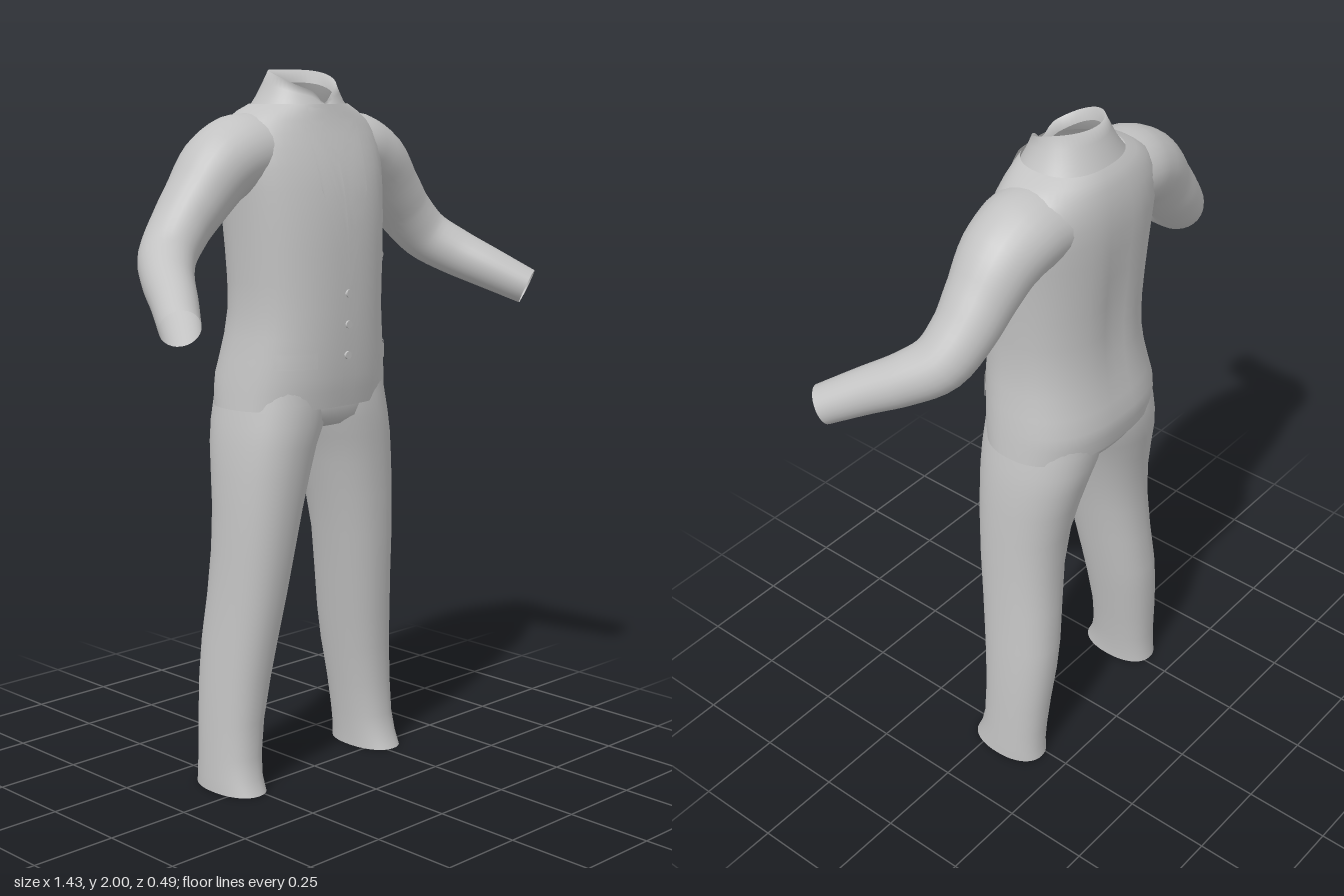
import * as THREE from 'three';

const SEG = 48, N = 2.35;
const cloth = new THREE.MeshStandardMaterial({ color: 0xc2c2c2, side: THREE.DoubleSide });
cloth.name = 'light grey cloth';

// Skin a list of closed rings (arrays of Vector3, bottom to top)
function loft(name, rings) {
  const n = rings[0].length, pos = [], idx = [];
  rings.forEach((ring) => ring.forEach((p) => pos.push(p.x, p.y, p.z)));
  for (let i = 0; i < rings.length - 1; i++) {
    for (let j = 0; j < n; j++) {
      const a = i * n + j, b = i * n + (j + 1) % n;
      idx.push(a, b, a + n, b, b + n, a + n);
    }
  }
  return finish(name, pos, idx);
}

function finish(name, pos, idx) {
  const g = new THREE.BufferGeometry();
  g.setAttribute('position', new THREE.Float32BufferAttribute(pos, 3));
  g.setIndex(idx);
  g.computeVertexNormals();
  const mesh = new THREE.Mesh(g, cloth);
  mesh.name = name;
  return mesh;
}

// Horizontal superellipse ring; angle 0 faces the front
function ring(y, cx, hw, front, back, n = N) {
  const pw = (v) => Math.sign(v) * Math.abs(v) ** (2 / n);
  return Array.from({ length: SEG }, (_, j) => {
    const a = (j / SEG) * Math.PI * 2;
    return new THREE.Vector3(cx + hw * pw(Math.sin(a)), y,
      (front + back) / 2 + ((front - back) / 2) * pw(Math.cos(a)));
  });
}

// Jacket body: y, half width, front z, back z
const BODY = [
  [1.085, 0.268, 0.118, -0.238], [1.13, 0.262, 0.126, -0.247], [1.17, 0.256, 0.131, -0.248],
  [1.22, 0.247, 0.134, -0.236], [1.28, 0.236, 0.137, -0.224], [1.35, 0.228, 0.138, -0.215],
  [1.43, 0.23, 0.138, -0.213], [1.52, 0.236, 0.136, -0.217], [1.6, 0.242, 0.132, -0.222],
  [1.68, 0.25, 0.122, -0.226], [1.74, 0.258, 0.108, -0.227], [1.79, 0.26, 0.092, -0.224],
  [1.83, 0.248, 0.077, -0.217], [1.865, 0.22, 0.065, -0.207], [1.89, 0.18, 0.058, -0.195],
  [1.908, 0.14, 0.053, -0.18],
];

// Depth of the jacket front at x, y
function frontZ(x, y) {
  let i = 0;
  while (i < BODY.length - 2 && BODY[i + 1][0] < y) i++;
  const t = THREE.MathUtils.clamp((y - BODY[i][0]) / (BODY[i + 1][0] - BODY[i][0]), 0, 1);
  const [hw, f, b] = [1, 2, 3].map((k) => THREE.MathUtils.lerp(BODY[i][k], BODY[i + 1][k], t));
  return (f + b) / 2 + ((f - b) / 2) * Math.max(0, 1 - Math.abs(x / hw) ** N) ** (1 / N);
}

// Thin cloth panel laid over the jacket front; corners run counter-clockwise
function panel(name, corners, lift = 0.005) {
  const [a, b, c, d] = corners.map(([x, y]) => new THREE.Vector2(x, y));
  const D = 8, pos = [], idx = [];
  for (let i = 0; i <= D; i++) {
    for (let j = 0; j <= D; j++) {
      const p = a.clone().lerp(b, j / D).lerp(d.clone().lerp(c, j / D), i / D);
      pos.push(p.x, p.y, frontZ(p.x, p.y) + lift);
      if (i < D && j < D) {
        const k = i * (D + 1) + j;
        idx.push(k, k + 1, k + D + 1, k + 1, k + D + 2, k + D + 1);
      }
    }
  }
  return finish(name, pos, idx);
}

function jacketBody() {
  const rings = BODY.map(([y, hw, f, b]) => ring(y, 0, hw, f, b));
  // Shallow groove along the spine
  rings.flat().forEach((p) => {
    if (p.z < -0.1) {
      p.z += 0.014 * Math.exp(-((p.x / 0.045) ** 2)) * Math.exp(-(((p.y - 1.5) / 0.2) ** 2));
    }
  });
  return loft('jacketBody', rings);
}

// Standing collar, high at the nape with a notch at the throat
function collar() {
  const base = ring(1.893, 0, 0.15, 0.057, -0.186, 2.1);
  const top = ring(2, 0, 0.1, 0.038, -0.135, 2);
  top.forEach((p, j) => {
    const a = (j / SEG) * Math.PI * 2, d = Math.min(a, Math.PI * 2 - a);
    p.y -= 0.06 * ((1 + Math.cos(a)) / 2) ** 2 + 0.03 * Math.exp(-((d / 0.25) ** 2));
  });
  const mix = (s, bulge) => base.map((p, j) => {
    const q = p.clone().lerp(top[j], s);
    q.x *= 1 - bulge;
    return q;
  });
  // Fold the rim over into a short inner band
  const inner = top.map((p) => new THREE.Vector3(p.x * 0.93, p.y - 0.035, (p.z + 0.05) * 0.93 - 0.05));
  return loft('collar', [base, mix(0.35, 0.04), mix(0.7, 0.03), top, inner]);
}

// Sleeve: x, y, z, radius in the frontal plane, radius in depth
const SLEEVE = [
  [0.14, 1.785, -0.075, 0.1, 0.125], [0.22, 1.775, -0.073, 0.107, 0.122],
  [0.295, 1.738, -0.07, 0.102, 0.112], [0.365, 1.665, -0.068, 0.089, 0.096],
  [0.43, 1.592, -0.064, 0.079, 0.086], [0.495, 1.522, -0.04, 0.074, 0.08],
  [0.55, 1.473, 0.025, 0.069, 0.07], [0.605, 1.425, 0.115, 0.061, 0.062],
  [0.668, 1.372, 0.212, 0.052, 0.054],
];

function sleeve(side) {
  const path = new THREE.CatmullRomCurve3(SLEEVE.map(([x, y, z]) => new THREE.Vector3(side * x, y, z)));
  const last = SLEEVE.length - 1, steps = last * 4, rings = [];
  for (let i = 0; i <= steps; i++) {
    const t = i / steps, k = Math.min(Math.floor(t * last), last - 1), f = t * last - k;
    const [r1, r2] = [3, 4].map((c) => THREE.MathUtils.lerp(SLEEVE[k][c], SLEEVE[k + 1][c], f));
    const p = path.getPoint(t), dir = path.getTangent(t);
    const v = new THREE.Vector3(0, 0, 1).addScaledVector(dir, -dir.z).normalize();
    const u = dir.clone().cross(v);
    rings.push(Array.from({ length: 28 }, (_, j) => {
      const a = (j / 28) * Math.PI * 2;
      return p.clone().addScaledVector(u, r1 * Math.sin(a)).addScaledVector(v, r2 * Math.cos(a));
    }));
  }
  return loft(side > 0 ? 'leftSleeve' : 'rightSleeve', rings);
}

// Trouser leg: y, inner x, outer x, front z, back z
const LEG = [
  [0, 0.2, 0.345, 0.06, -0.175], [0.04, 0.199, 0.344, 0.042, -0.172], [0.1, 0.192, 0.34, 0.03, -0.172],
  [0.2, 0.178, 0.336, 0.028, -0.178], [0.32, 0.155, 0.328, 0.036, -0.186], [0.42, 0.138, 0.319, 0.048, -0.187],
  [0.55, 0.115, 0.307, 0.064, -0.178], [0.68, 0.092, 0.3, 0.078, -0.171], [0.8, 0.066, 0.294, 0.088, -0.177],
  [0.9, 0.038, 0.288, 0.096, -0.195], [0.98, 0.014, 0.28, 0.103, -0.213], [1.04, -0.015, 0.27, 0.108, -0.224],
  [1.1, -0.03, 0.257, 0.108, -0.226], [1.16, -0.03, 0.243, 0.104, -0.22],
];

function leg(side) {
  return loft(side > 0 ? 'leftTrouserLeg' : 'rightTrouserLeg',
    LEG.map(([y, a, b, f, k]) => ring(y, side * (a + b) / 2, (b - a) / 2, f, k, 2.2)));
}

export function createModel() {
  const suit = new THREE.Group();
  suit.name = 'suit';
  suit.add(jacketBody(), collar());

  // Seat of the trousers, bridging the legs
  suit.add(loft('trouserSeat', [
    ring(1.005, 0, 0.03, -0.01, -0.1), ring(1.025, 0, 0.12, 0.07, -0.18), ring(1.05, 0, 0.2, 0.1, -0.215),
    ring(1.09, 0, 0.25, 0.109, -0.227), ring(1.16, 0, 0.244, 0.105, -0.222),
  ]));

  for (const s of [1, -1]) {
    suit.add(sleeve(s), leg(s));
    const side = s > 0 ? 'left' : 'right';
    const mirror = (pts) => (s > 0 ? pts : pts.map(([x, y]) => [-x, y]).reverse());
    suit.add(
      panel(side + 'CollarPoint', mirror([[0.012, 1.895], [0.055, 1.835], [0.085, 1.865], [0.075, 1.9]]), 0.007),
      panel(side + 'Lapel', mirror([[0.0, 1.42], [0.085, 1.68], [0.1, 1.85], [0.01, 1.78]]), 0.003),
      panel(side + 'PocketFlap', mirror([[0.11, 1.2], [0.215, 1.2], [0.215, 1.245], [0.11, 1.245]])),
    );
  }

  // Overlapping front edge, breast pocket and buttons
  suit.add(
    panel('frontEdge', [[-0.02, 1.09], [0.03, 1.09], [0.03, 1.43], [-0.02, 1.41]], 0.003),
    panel('breastPocket', [[0.15, 1.49], [0.205, 1.47], [0.207, 1.487], [0.152, 1.507]], 0.004),
  );
  for (const y of [1.23, 1.315, 1.4]) {
    const button = new THREE.Mesh(new THREE.CylinderGeometry(0.011, 0.011, 0.008, 16), cloth);
    button.name = 'button';
    button.rotation.x = Math.PI / 2;
    button.position.set(-0.008, y, frontZ(-0.008, y) + 0.005);
    suit.add(button);
  }
  return suit;
}
